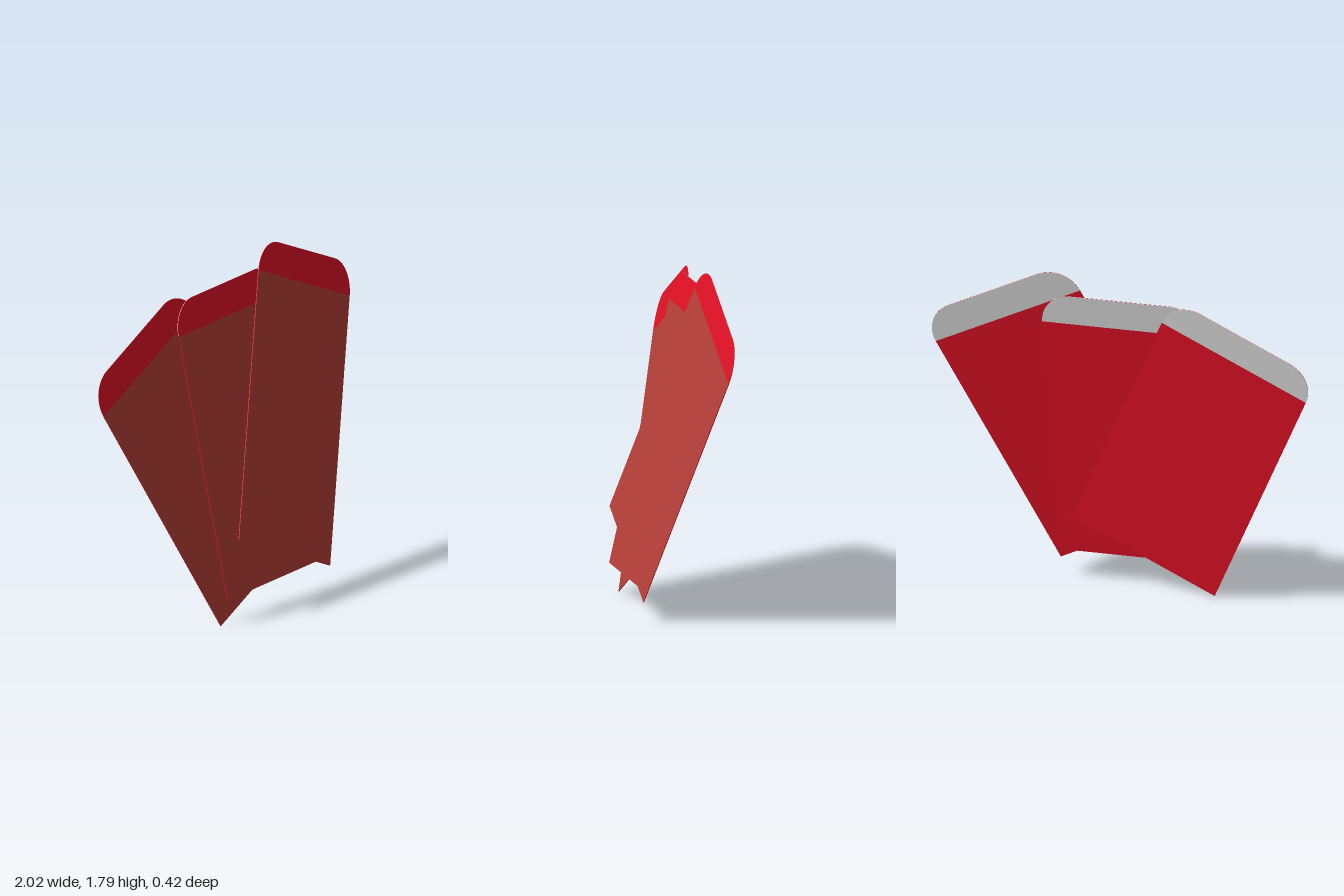
import * as THREE from 'three';

const WIDTH = 0.845, BODY = 1.396, FLAP = 0.169, CORNER = 0.16, THICK = 0.004;

export function createModel() {
  const red = new THREE.MeshStandardMaterial({ color: 0xe61126 });
  red.name = 'red paper';
  const faded = new THREE.MeshStandardMaterial({ color: 0xb94039 });
  faded.name = 'faded red front';
  const grey = new THREE.MeshStandardMaterial({ color: 0xe0e0e0 });
  grey.name = 'pale flap lining';

  // Flap outline: straight top with two rounded corners
  const w = WIDTH / 2;
  const outline = new THREE.Shape();
  outline.moveTo(-w, 0);
  outline.lineTo(w, 0);
  outline.absellipse(w - CORNER, 0, CORNER, FLAP, 0, Math.PI / 2, false);
  outline.lineTo(-w + CORNER, FLAP);
  outline.absellipse(-w + CORNER, 0, CORNER, FLAP, Math.PI / 2, Math.PI, false);

  const bodyGeometry = new THREE.BoxGeometry(WIDTH, BODY, THICK).translate(0, BODY / 2, 0);
  const sheetGeometry = new THREE.ExtrudeGeometry(outline, {
    depth: THICK / 2, bevelEnabled: false, curveSegments: 10,
  }).translate(0, BODY, 0);

  // One envelope: pocket, flap and flap lining, leaning back then fanned sideways
  function envelope(name, x, y, z, fan) {
    const group = new THREE.Group();
    group.name = name;
    const body = new THREE.Mesh(bodyGeometry, [red, red, red, red, faded, red]);
    body.name = 'pocket';
    const flap = new THREE.Mesh(sheetGeometry, red);
    flap.name = 'flap';
    const lining = new THREE.Mesh(sheetGeometry, grey);
    lining.name = 'flapLining';
    lining.position.z = -THICK / 2;
    group.add(body, flap, lining);
    group.position.set(x, y, z);
    group.rotation.set(THREE.MathUtils.degToRad(-13), 0, THREE.MathUtils.degToRad(fan), 'ZYX');
    return group;
  }

  const model = new THREE.Group();
  model.name = 'envelopeFan';
  model.add(
    envelope('rearEnvelope', -0.037, 0.182, 0.145, 25),
    envelope('middleEnvelope', -0.002, 0.155, 0.193, 0),
    envelope('frontEnvelope', 0.033, 0.287, 0.208, -25),
  );
  return model;
}
